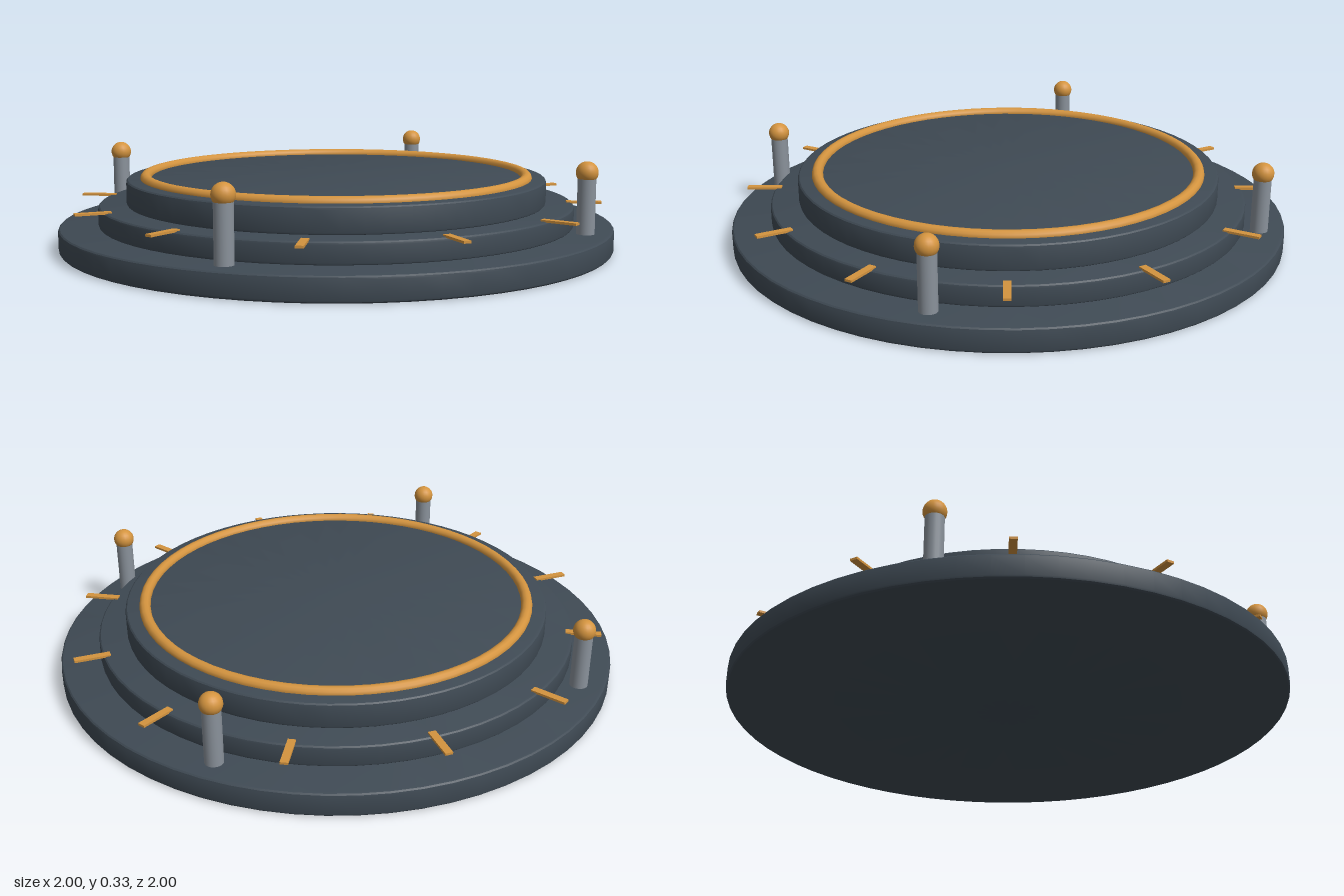
import * as THREE from 'three';
import { toCreasedNormals } from 'three/addons/utils/BufferGeometryUtils.js';

const slate = new THREE.MeshStandardMaterial({ name: 'slate', color: 0x3f4a54 });
const gold = new THREE.MeshStandardMaterial({ name: 'gold', color: 0xd4943f });
const steel = new THREE.MeshStandardMaterial({ name: 'steel', color: 0x8a929b });

// Disc with softly rounded top and bottom rims
function discGeometry(radius, y0, y1, bevel = 0.012) {
  const pts = [new THREE.Vector2(0, y0)];
  for (const [cy, start] of [[y0 + bevel, -Math.PI / 2], [y1 - bevel, 0]]) {
    for (let i = 0; i <= 3; i++) {
      const a = start + (i / 3) * Math.PI / 2;
      pts.push(new THREE.Vector2(radius - bevel + Math.cos(a) * bevel, cy + Math.sin(a) * bevel));
    }
  }
  pts.push(new THREE.Vector2(0, y1));
  return toCreasedNormals(new THREE.LatheGeometry(pts, 64), 0.4);
}

export function createModel() {
  const model = new THREE.Group();
  model.name = 'roundPlatform';

  const add = (name, geometry, material, x = 0, y = 0, z = 0) => {
    const mesh = new THREE.Mesh(geometry, material);
    mesh.name = name;
    mesh.position.set(x, y, z);
    model.add(mesh);
    return mesh;
  };

  // Three stacked tiers
  add('baseTier', discGeometry(1, 0, 0.084), slate);
  add('middleTier', discGeometry(0.86, 0.08, 0.157), slate);
  add('topTier', discGeometry(0.76, 0.153, 0.246), slate);

  // Ring set into the top surface
  add('topRing', new THREE.TorusGeometry(0.69, 0.02, 12, 64), gold, 0, 0.247, 0).rotation.x = Math.PI / 2;

  // Twelve radial marker bars
  const bar = new THREE.BoxGeometry(0.125, 0.008, 0.026);
  for (let i = 0; i < 12; i++) {
    const a = (i / 12) * Math.PI * 2;
    add('markerBar', bar, gold, Math.cos(a) * 0.897, 0.158, -Math.sin(a) * 0.897).rotation.y = a;
  }

  // Four posts with ball caps
  const post = new THREE.CylinderGeometry(0.031, 0.031, 0.21, 20);
  const cap = new THREE.SphereGeometry(0.038, 20, 14);
  for (const x of [-0.645, 0.645]) {
    for (const z of [-0.645, 0.645]) {
      add('post', post, steel, x, 0.185, z);
      add('postCap', cap, gold, x, 0.295, z);
    }
  }

  return model;
}
